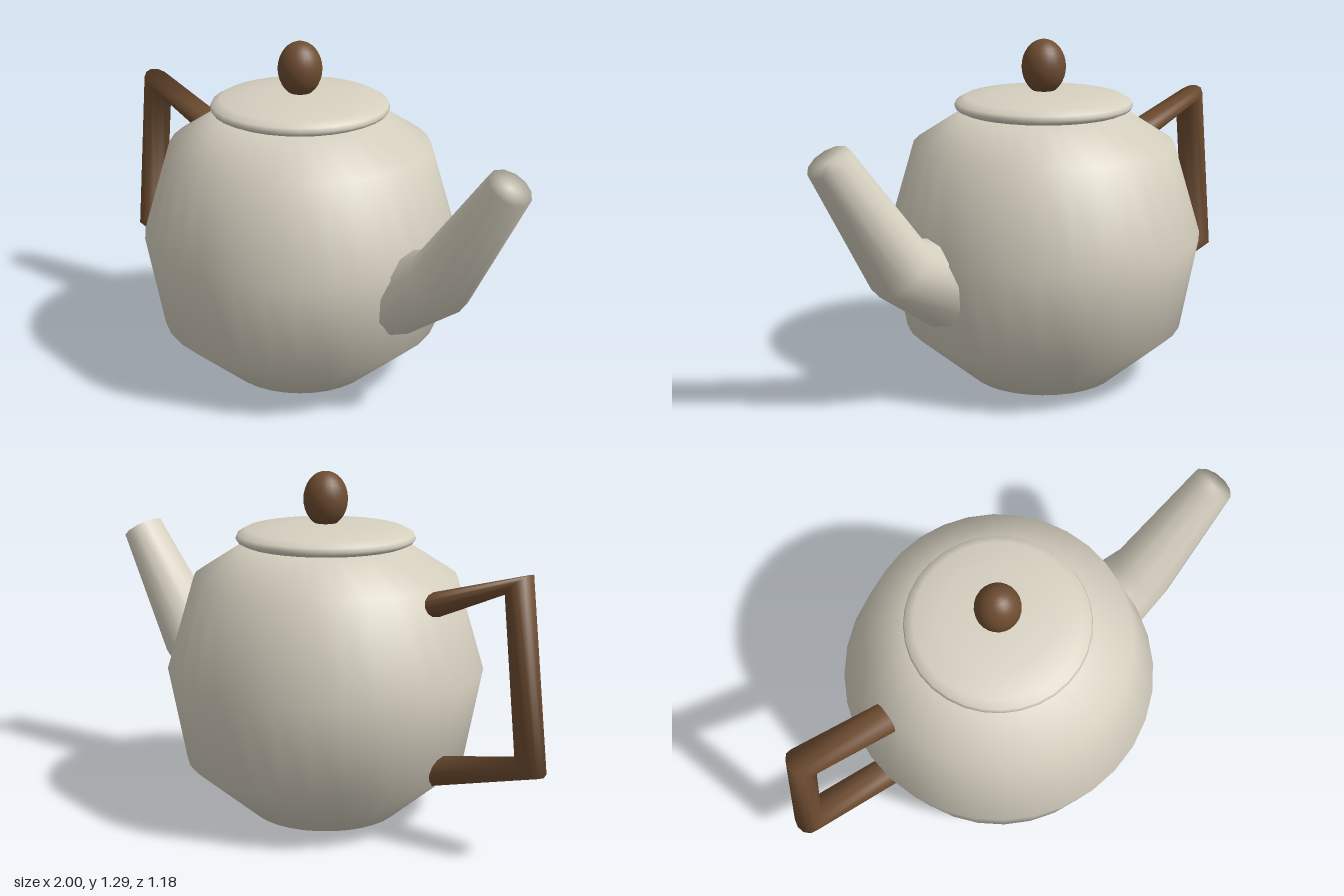
import * as THREE from 'three';

const AXIS_X = -0.045;

// Lathe from [radius, height] pairs, smooth all round
function turned(profile, segments) {
  return new THREE.LatheGeometry(profile.map(([r, y]) => new THREE.Vector2(r, y)), segments);
}

// Bent tube through elliptical rings; each ring is [outer point, inner point, half depth in z]
function bentTube(rings, sides, capStart) {
  const pos = [], index = [];
  for (const [a, b, rz] of rings) {
    for (let j = 0; j < sides; j++) {
      const t = (j / sides) * Math.PI * 2, k = Math.cos(t) / 2;
      pos.push((a[0] + b[0]) / 2 + (b[0] - a[0]) * k, (a[1] + b[1]) / 2 + (b[1] - a[1]) * k, rz * Math.sin(t));
    }
  }
  for (let i = 0; i < rings.length - 1; i++) {
    for (let j = 0; j < sides; j++) {
      const a = i * sides + j, b = i * sides + (j + 1) % sides;
      index.push(a, b, a + sides, b, b + sides, a + sides);
    }
  }
  // End caps as fans around a centre point
  const cap = (i, flip) => {
    const [a, b] = rings[i], centre = pos.length / 3;
    pos.push((a[0] + b[0]) / 2, (a[1] + b[1]) / 2, 0);
    for (let j = 0; j < sides; j++) {
      const p = i * sides + j, q = i * sides + (j + 1) % sides;
      index.push(centre, flip ? q : p, flip ? p : q);
    }
  };
  cap(rings.length - 1, false);
  if (capStart) cap(0, true);
  const geo = new THREE.BufferGeometry();
  geo.setAttribute('position', new THREE.Float32BufferAttribute(pos, 3));
  geo.setIndex(index);
  geo.computeVertexNormals();
  return geo;
}

export function createModel() {
  const group = new THREE.Group();
  group.name = 'teapot';
  const ceramic = new THREE.MeshStandardMaterial({ color: 0xd6d0c0 });
  ceramic.name = 'cream ceramic';
  const wood = new THREE.MeshStandardMaterial({ color: 0x6e4c30 });
  wood.name = 'brown wood';

  const add = (name, geo, mat, x = 0, y = 0) => {
    const mesh = new THREE.Mesh(geo, mat);
    mesh.name = name;
    mesh.position.set(x, y, 0);
    group.add(mesh);
    return mesh;
  };

  // Pot body with flat base
  add('body', turned([[0, 0], [0.28, 0], [0.525, 0.21], [0.59, 0.56], [0.487, 0.905], [0.305, 1.022], [0, 1.022]], 32), ceramic, AXIS_X);

  // Lid with a rounded rim and a shallow dome
  add('lid', turned([[0, 1.024], [0.305, 1.024], [0.325, 1.033], [0.332, 1.045], [0.326, 1.06],
    [0.295, 1.077], [0.2, 1.091], [0.1, 1.097], [0, 1.099]], 32), ceramic, AXIS_X);

  // Egg-shaped knob
  const knob = add('lidKnob', new THREE.SphereGeometry(1, 24, 16), wood, AXIS_X, 1.186);
  knob.scale.set(0.082, 0.102, 0.082);

  // Tapered spout with one elbow
  add('spout', bentTube([
    [[0.508, 0.305], [0.36, 0.6], 0.165],
    [[0.74, 0.47], [0.56, 0.645], 0.125],
    [[0.995, 0.93], [0.86, 1.02], 0.082],
  ], 12, false), ceramic);

  // Angular three-bar handle
  add('handle', bentTube([
    [[-0.52, 0.9], [-0.54, 0.81], 0.061],
    [[-0.92, 1.015], [-0.835, 0.94], 0.061],
    [[-1, 0.325], [-0.895, 0.375], 0.061],
    [[-0.54, 0.19], [-0.52, 0.3], 0.061],
  ], 12, true), wood);

  return group;
}
